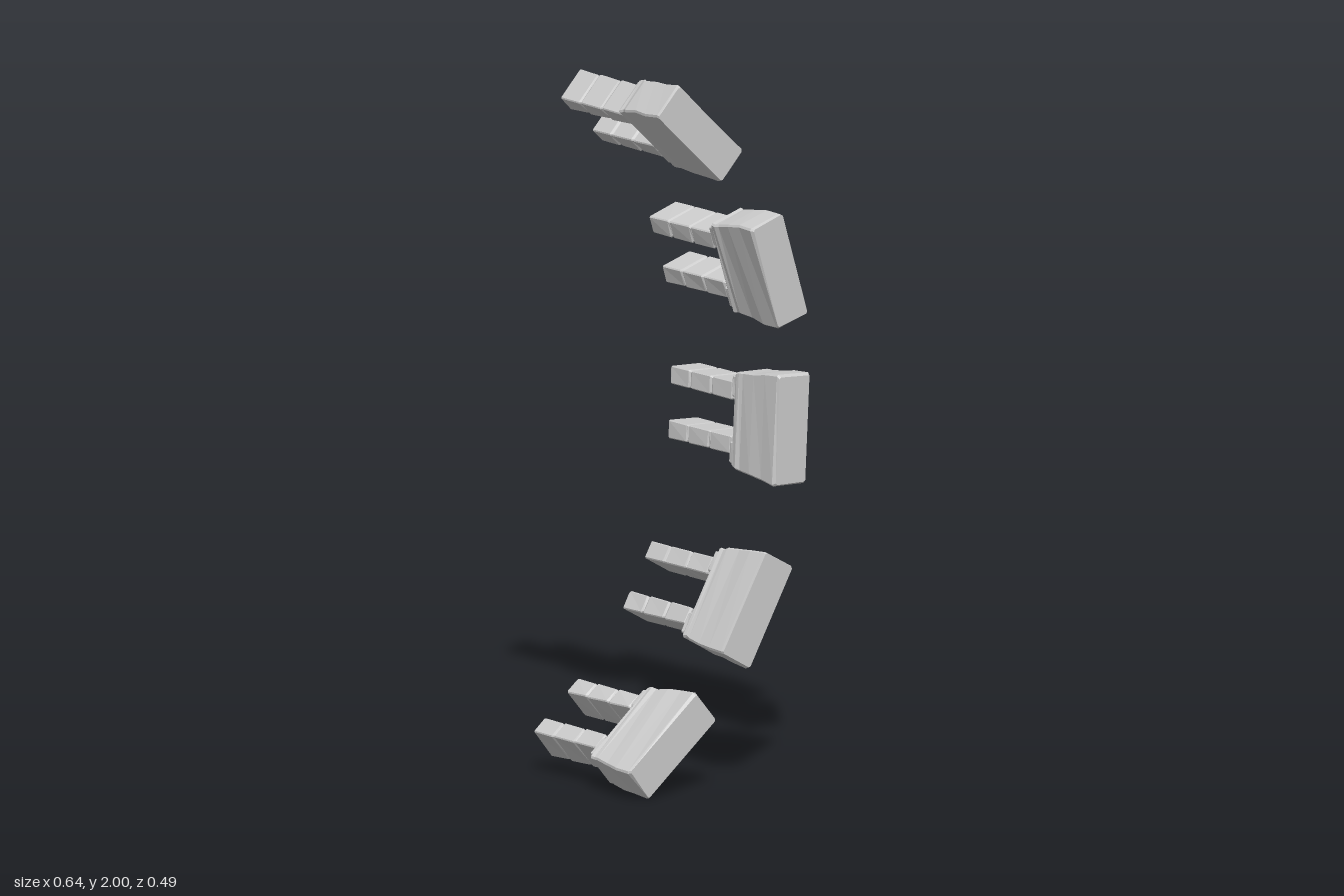
import * as THREE from 'three';

// Lofts chamfered rectangles along z; each ring is [z, length, width]
function loft(rings, chamfer, wobble, phase) {
  const pos = [], index = [], n = 8;
  rings.forEach(([z, l, w], r) => {
    const a = l / 2, b = w / 2, c = chamfer;
    const loop = [[a, -b + c], [a, b - c], [a - c, b], [-a + c, b],
      [-a, b - c], [-a, -b + c], [-a + c, -b], [a - c, -b]];
    loop.forEach(([x, y], i) => {
      const k = Math.floor(((i + 7) % 8) / 2) * 2.3 + r * 1.7 + phase;
      pos.push(x + wobble * Math.sin(k), y + wobble * Math.sin(k * 1.9 + 1), z);
    });
  });
  // Side walls (rings run from back to front)
  for (let r = 0; r < rings.length - 1; r++) {
    for (let i = 0; i < n; i++) {
      const a = r * n + i, b = r * n + (i + 1) % n;
      index.push(a, b, b + n, a, b + n, a + n);
    }
  }
  // End caps
  const last = (rings.length - 1) * n;
  for (let i = 1; i < n - 1; i++) {
    index.push(0, i + 1, i);
    index.push(last, last + i, last + i + 1);
  }
  const g = new THREE.BufferGeometry();
  g.setAttribute('position', new THREE.Float32BufferAttribute(pos, 3));
  g.setIndex(index);
  const flat = g.toNonIndexed();
  flat.computeVertexNormals();
  return flat;
}

// Block flaring toward the front, with a small lip at its back
const blockRings = [
  [0.05, 0.262, 0.106], [0.056, 0.272, 0.113], [0.068, 0.272, 0.112],
  [0.082, 0.278, 0.108], [0.13, 0.29, 0.108], [0.18, 0.303, 0.11],
  [0.236, 0.31, 0.112], [0.245, 0.302, 0.106],
];

// Prong of three segments with pinched joints
const prongRings = [];
for (const [z0, z1] of [[-0.245, -0.155], [-0.155, -0.06], [-0.06, 0.037]]) {
  prongRings.push([z0 + 0.001, 0.045, 0.093], [z0 + 0.007, 0.052, 0.101],
    [z1 - 0.007, 0.051, 0.1], [z1 - 0.001, 0.045, 0.093]);
}

const collarRings = [[0.034, 0.056, 0.1], [0.038, 0.06, 0.104], [0.054, 0.06, 0.104]];

export function createModel() {
  const model = new THREE.Group();
  const material = new THREE.MeshStandardMaterial({ color: 0xcccccc, flatShading: true });
  const add = (parent, name, geometry) => {
    const mesh = new THREE.Mesh(geometry, material);
    mesh.name = name;
    parent.add(mesh);
    return mesh;
  };

  // Centre x, y and tilt in degrees of each stone along the arc
  const stones = [
    [-0.17, 0.144, 39.6], [0.128, 0.488, 60], [0.25, 0.982, 87],
    [0.207, 1.435, 107.5], [-0.073, 1.858, 136.5],
  ];
  stones.forEach(([x, y, tilt], s) => {
    const stone = new THREE.Group();
    stone.name = 'stone' + (s + 1);
    stone.position.set(x, y, 0);
    stone.rotation.z = THREE.MathUtils.degToRad(tilt);
    add(stone, 'block', loft(blockRings, 0.005, 0.002, s * 2.1));
    for (const side of [-1, 1]) {
      const prong = add(stone, 'prong', loft(prongRings, 0.003, 0.001, s * 1.3 + side));
      prong.position.x = 0.003 + side * 0.076;
      const collar = add(stone, 'collar', loft(collarRings, 0.003, 0.001, s + side));
      collar.position.x = side * 0.093;
    }
    model.add(stone);
  });
  return model;
}
